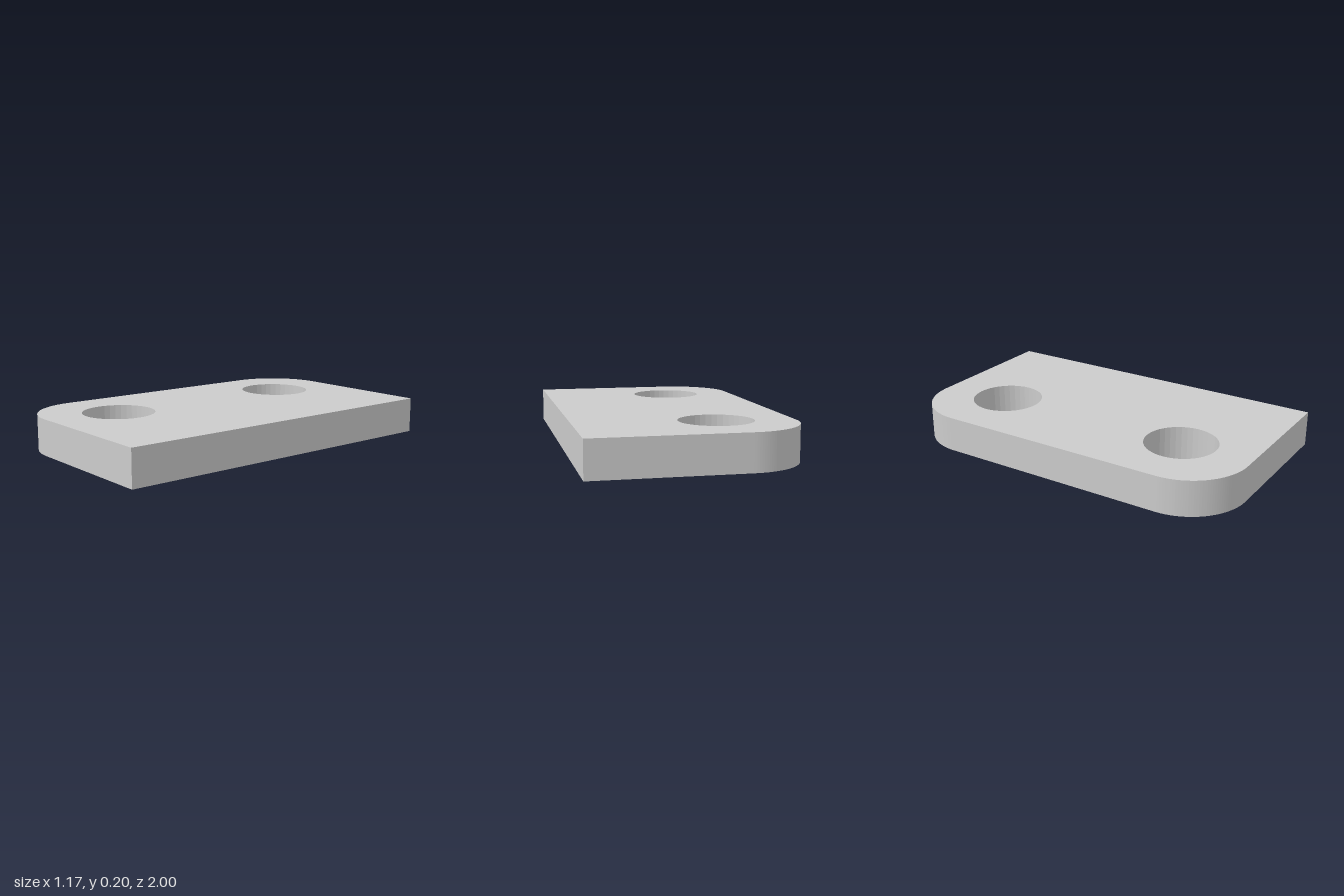
import * as THREE from 'three';

const HALF_W = 0.583, HALF_L = 1, THICK = 0.2;
const CORNER_R = 0.34, HOLE_R = 0.202, HOLE_X = -0.17, HOLE_Z = 0.583;

export function createModel() {
  const group = new THREE.Group();
  group.name = 'mountingPlate';

  // Outline: square corners on +x, rounded corners on -x
  const outline = new THREE.Shape();
  outline.moveTo(HALF_W, -HALF_L);
  outline.lineTo(HALF_W, HALF_L);
  outline.lineTo(-HALF_W + CORNER_R, HALF_L);
  outline.absarc(-HALF_W + CORNER_R, HALF_L - CORNER_R, CORNER_R, Math.PI / 2, Math.PI, false);
  outline.lineTo(-HALF_W, -HALF_L + CORNER_R);
  outline.absarc(-HALF_W + CORNER_R, -HALF_L + CORNER_R, CORNER_R, Math.PI, Math.PI * 1.5, false);
  outline.closePath();

  // Two through holes
  for (const side of [-1, 1]) {
    const hole = new THREE.Path();
    hole.absarc(HOLE_X, side * HOLE_Z, HOLE_R, 0, Math.PI * 2, true);
    outline.holes.push(hole);
  }

  // Extrude and lay flat on the ground
  const geometry = new THREE.ExtrudeGeometry(outline, {
    depth: THICK, bevelEnabled: false, curveSegments: 20,
  });
  geometry.rotateX(-Math.PI / 2);

  const plate = new THREE.Mesh(
    geometry,
    new THREE.MeshStandardMaterial({ color: 0xcccccc, flatShading: true })
  );
  plate.name = 'plate';
  group.add(plate);
  return group;
}
